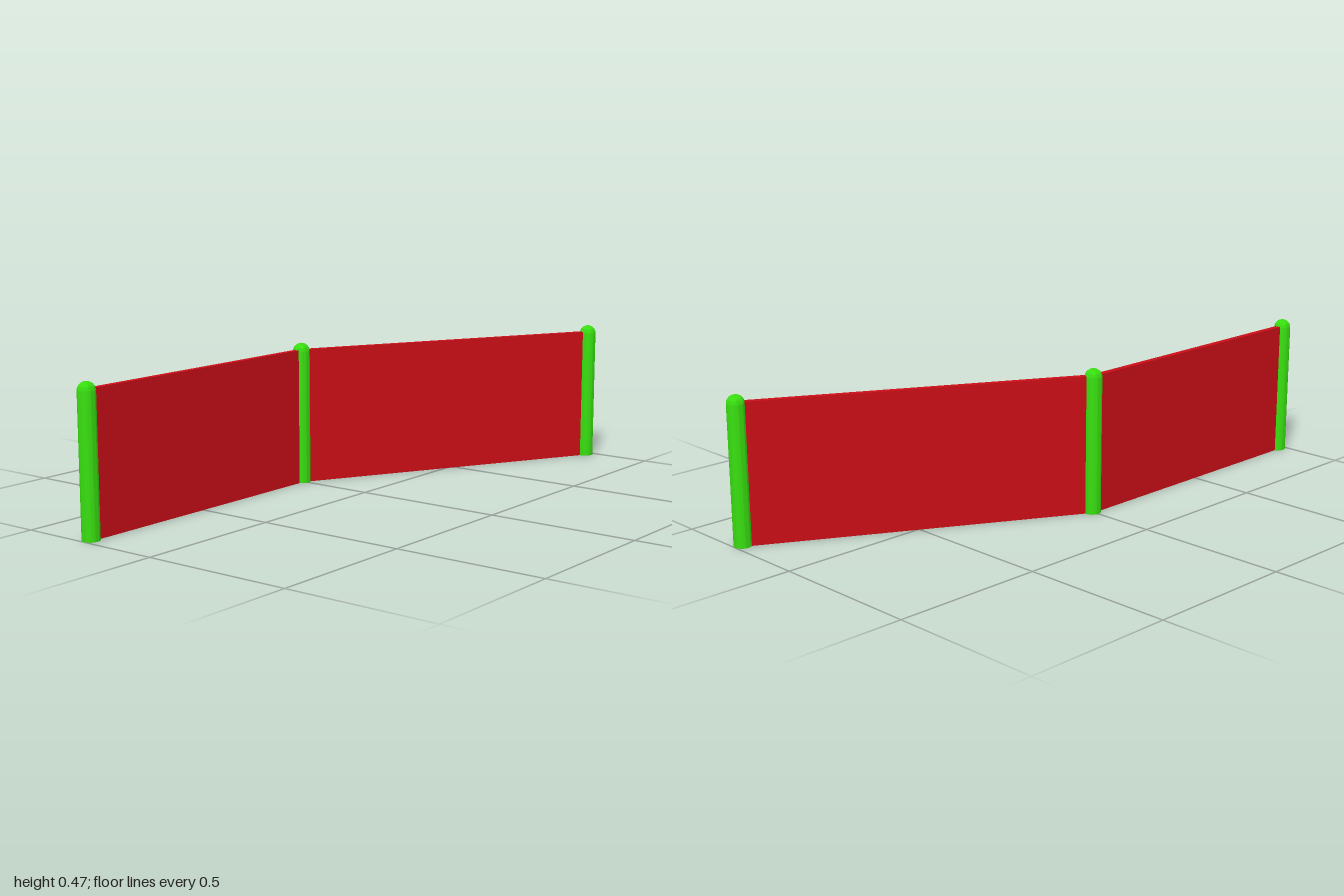
import * as THREE from 'three';
import { toCreasedNormals } from 'three/addons/utils/BufferGeometryUtils.js';

const RADIUS = 0.028;
const POST_HEIGHT = 0.475;
const PANEL_HEIGHT = 0.453;
const PANEL_THICKNESS = 0.02;

// Post positions on the ground as [x, z], front to back
const POSTS = [[-0.268, 0.972], [-0.268, 0], [0.268, -0.972]];

// Round post with a flat base and a domed top
function postGeometry() {
  const profile = [new THREE.Vector2(0, 0), new THREE.Vector2(RADIUS, 0)];
  const steps = 8;
  for (let i = 0; i <= steps; i++) {
    const a = (i / steps) * Math.PI / 2;
    const r = i === steps ? 0 : RADIUS * Math.cos(a);
    profile.push(new THREE.Vector2(r, POST_HEIGHT - RADIUS + RADIUS * Math.sin(a)));
  }
  return toCreasedNormals(new THREE.LatheGeometry(profile, 32), Math.PI / 4);
}

// Flat panel running between the centres of two posts
function makePanel([x1, z1], [x2, z2], material) {
  const length = Math.hypot(x2 - x1, z2 - z1);
  const panel = new THREE.Mesh(new THREE.BoxGeometry(PANEL_THICKNESS, PANEL_HEIGHT, length), material);
  panel.position.set((x1 + x2) / 2, PANEL_HEIGHT / 2, (z1 + z2) / 2);
  panel.rotation.y = Math.atan2(x2 - x1, z2 - z1);
  return panel;
}

export function createModel() {
  const group = new THREE.Group();
  group.name = 'foldedScreen';
  const green = new THREE.MeshStandardMaterial({ color: 0x38de10 });
  const red = new THREE.MeshStandardMaterial({ color: 0xcc0e17 });

  // Posts
  const geometry = postGeometry();
  const postNames = ['frontPost', 'middlePost', 'backPost'];
  POSTS.forEach(([x, z], i) => {
    const post = new THREE.Mesh(geometry, green);
    post.name = postNames[i];
    post.position.set(x, 0, z);
    group.add(post);
  });

  // Panels
  ['frontPanel', 'backPanel'].forEach((name, i) => {
    const panel = makePanel(POSTS[i], POSTS[i + 1], red);
    panel.name = name;
    group.add(panel);
  });

  return group;
}
